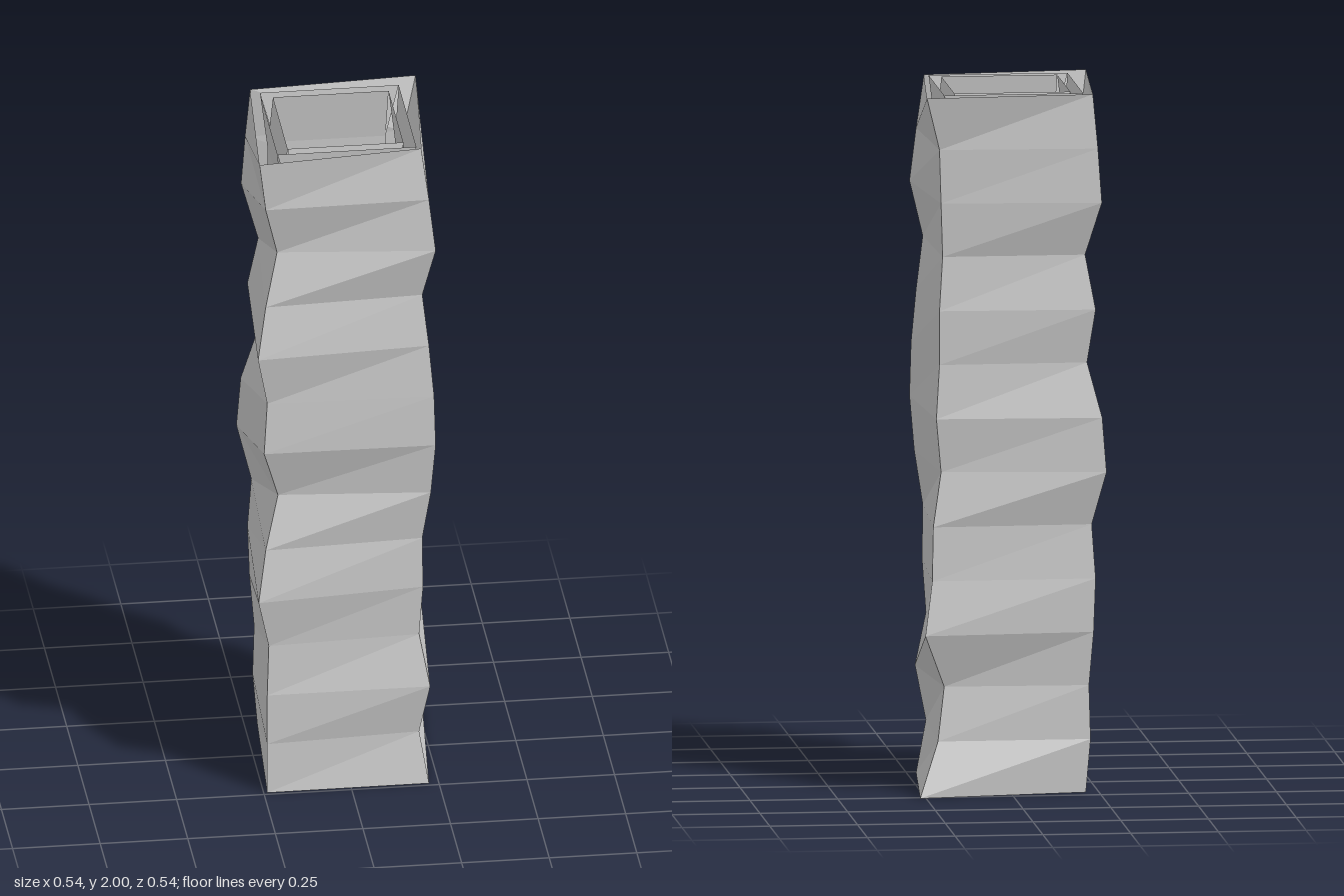
import * as THREE from 'three';

const HEIGHT = 2;
const CX = -0.008, CZ = 0.008; // axis of the column

// Half-widths of each corner, one per level from the ground up
const CORNERS = [
  { sx: -1, sz: 1, d: [.232, .232, .232, .227, .26, .237, .197, .242, .232, .262, .237, .2, .237, .257] },
  { sx: 1, sz: 1, d: [.23, .205, .233, .205, .215, .213, .235, .247, .243, .23, .213, .247, .23, .21] },
  { sx: 1, sz: -1, d: [.275, .218, .198, .258, .236, .233, .208, .223, .213, .213, .203, .208, .213, .253] },
  { sx: -1, sz: -1, d: [.205, .217, .213, .225, .23, .22, .258, .247, .208, .23, .203, .246, .236, .223] },
];

// Builds a mesh from four-cornered faces split along the first-third diagonal
function quadMesh(name, quads, material) {
  const points = quads.flatMap(([a, b, c, d]) => [a, b, c, a, c, d]).flat();
  const geometry = new THREE.BufferGeometry();
  geometry.setAttribute('position', new THREE.Float32BufferAttribute(points, 3));
  geometry.computeVertexNormals();
  const mesh = new THREE.Mesh(geometry, material);
  mesh.name = name;
  return mesh;
}

// Crumpled square tube, open at both ends
function outerShell(material) {
  const levels = CORNERS[0].d.length - 1;
  const at = (i, level) => {
    const { sx, sz, d } = CORNERS[i % 4];
    return [CX + sx * d[level], HEIGHT * level / levels, CZ + sz * d[level]];
  };
  const quads = [];
  for (let level = 0; level < levels; level++) {
    for (let i = 0; i < 4; i++) {
      quads.push([at(i, level), at(i + 1, level), at(i + 1, level + 1), at(i, level + 1)]);
    }
  }
  return quadMesh('outerShell', quads, material);
}

// One lining panel: a wall with a V-shaped flap at each end
function liningPanel(material) {
  const edge = (half, y, depth) => [[-half, y, depth], [half, y, depth]];
  const low = edge(0.158, 0.15, 0.182), high = edge(0.158, HEIGHT - 0.15, 0.182);
  const band = (p, q) => [p[0], p[1], q[1], q[0]];
  return quadMesh('liningPanel', [
    band(low, high),
    band(high, edge(0.165, HEIGHT, 0.165)),
    band(high, edge(0.198, HEIGHT, 0.198)),
    band(edge(0.165, 0, 0.165), low),
    band(edge(0.198, 0, 0.198), low),
  ], material);
}

export function createModel() {
  const material = new THREE.MeshStandardMaterial({
    color: 0xcccccc, flatShading: true, side: THREE.DoubleSide,
  });
  const model = new THREE.Group();
  model.name = 'crumpledColumn';
  model.add(outerShell(material));

  // Four panels line the inside, leaving slits at the corners
  const lining = new THREE.Group();
  lining.name = 'lining';
  lining.position.set(CX, 0, CZ);
  for (let i = 0; i < 4; i++) {
    const panel = liningPanel(material);
    panel.rotation.y = i * Math.PI / 2;
    lining.add(panel);
  }
  model.add(lining);
  return model;
}
